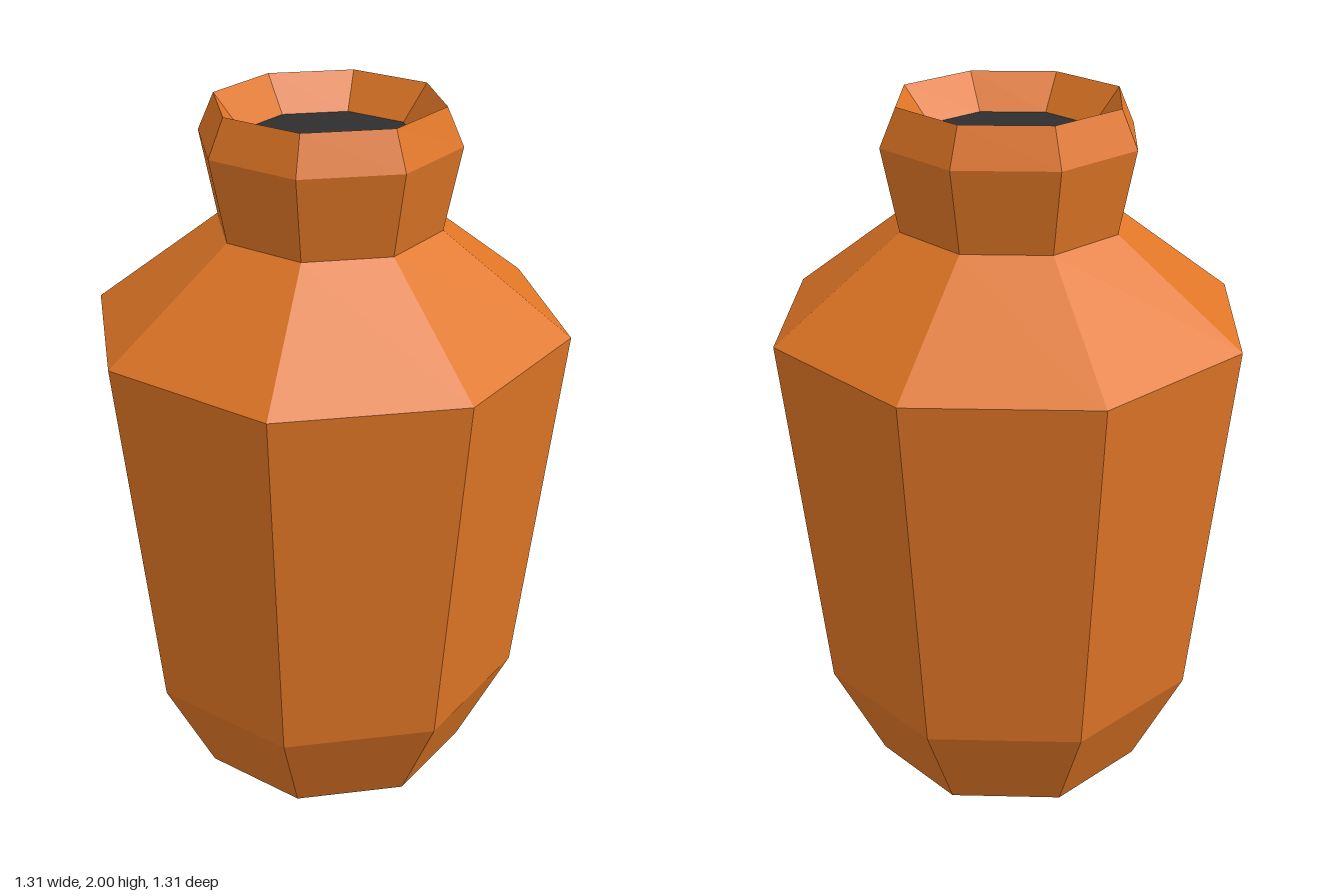
import * as THREE from 'three';

const SIDES = 8;

// Faceted ring of walls from a [radius, height] profile, listed so the surface faces outward going up
function facetedLathe(name, profile, material) {
  const points = profile.map(([r, y]) => new THREE.Vector2(r, y));
  const geometry = new THREE.LatheGeometry(points, SIDES).toNonIndexed();
  geometry.computeVertexNormals();
  const mesh = new THREE.Mesh(geometry, material);
  mesh.name = name;
  return mesh;
}

export function createModel() {
  const clay = new THREE.MeshStandardMaterial({ color: 0xe07626 });
  clay.name = 'orange clay';
  const dark = new THREE.MeshStandardMaterial({ color: 0x2e2e2e });
  dark.name = 'dark opening';

  const group = new THREE.Group();
  group.name = 'jar';

  // Slightly pointed base, tapered body and sloping shoulder
  group.add(facetedLathe('body', [[0, 0], [0.405, 0.05], [0.55, 0.355], [0.655, 1.405], [0.305, 1.675]], clay));

  // Flared neck closing in to the lip
  group.add(facetedLathe('neck', [[0.305, 1.675], [0.35, 1.9], [0.305, 2]], clay));

  // Inner slope of the mouth, running down from the lip
  group.add(facetedLathe('mouth', [[0.305, 2], [0.233, 1.905]], clay));

  // Dark floor of the mouth
  const opening = new THREE.Mesh(new THREE.CircleGeometry(0.233, SIDES).rotateX(-Math.PI / 2), dark);
  opening.name = 'opening';
  opening.position.y = 1.905;
  group.add(opening);

  return group;
}
